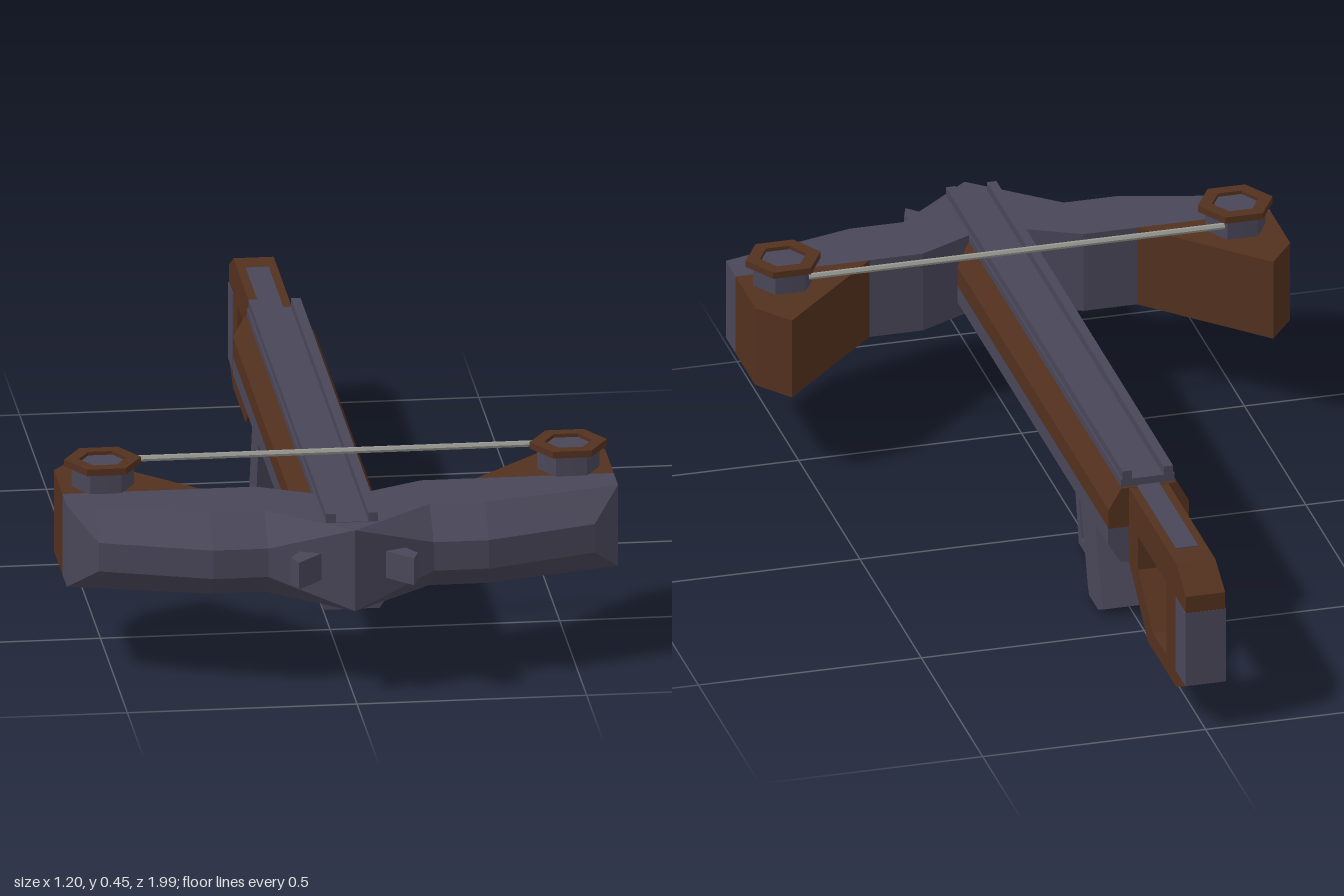
import * as THREE from 'three';

const material = (color) => new THREE.MeshStandardMaterial({ color, flatShading: true });

const path = (Type, pts) => new Type(pts.map(([a, b]) => new THREE.Vector2(a, b)));

function extrude(pts, depth, hole) {
  const shape = path(THREE.Shape, pts);
  if (hole) shape.holes.push(path(THREE.Path, hole));
  return new THREE.ExtrudeGeometry(shape, { depth, bevelEnabled: false });
}

// Side profile in (z, y), given a width centred on x = 0
const sideProfile = (pts, width, hole) =>
  extrude(pts, width, hole).translate(0, 0, -width / 2).rotateY(-Math.PI / 2);

// Plan outline in (x, z), raised from y0 to y1
const plan = (pts, y0, y1) =>
  extrude(pts.map(([x, z]) => [x, -z]), y1 - y0).rotateX(-Math.PI / 2).translate(0, y0, 0);

// Cross-section in (x, y), half outline mirrored, run from z0 to z1
function bar(half, z0, z1) {
  const pts = [...half, ...half.map(([x, y]) => [-x, y]).reverse()];
  return extrude(pts, z1 - z0).translate(0, 0, z0);
}

// Bow arms lofted through six-point sections along x
function bowGeometry() {
  // x, back z, bevel z, front z, front band low and high y
  const half = [
    [0, 0.74, 0.965, 0.965, 0.2, 0.385],
    [0.18, 0.65, 0.81, 0.89, 0.26, 0.325],
    [0.3, 0.65, 0.81, 0.89, 0.26, 0.325],
    [0.54, 0.65, 0.746, 0.81, 0.26, 0.325],
    [0.6, 0.65, 0.73, 0.73, 0.2, 0.385],
  ];
  const stations = [...half.slice(1).reverse().map(([x, ...r]) => [-x, ...r]), ...half];
  const pos = [], index = [];
  for (const [x, back, bevel, front, lo, hi] of stations) {
    pos.push(x, 0.2, back, x, 0.385, back, x, 0.385, bevel, x, hi, front, x, lo, front, x, 0.2, bevel);
  }
  for (let i = 0; i < stations.length - 1; i++) {
    for (let j = 0; j < 6; j++) {
      const a = i * 6 + j, b = i * 6 + (j + 1) % 6;
      index.push(a, b, b + 6, a, b + 6, a + 6);
    }
  }
  const last = (stations.length - 1) * 6;
  for (let j = 1; j < 5; j++) {
    index.push(0, j + 1, j, last, last + j, last + j + 1);
  }
  const g = new THREE.BufferGeometry();
  g.setAttribute('position', new THREE.Float32BufferAttribute(pos, 3));
  g.setIndex(index);
  const flat = g.toNonIndexed();
  flat.computeVertexNormals();
  return flat;
}

// Regular ring of points; two radii make a ribbed outline
const ring = (cx, cz, n, r, r2 = r) => Array.from({ length: n }, (_, i) => {
  const a = (i / n) * Math.PI * 2, q = i % 2 ? r2 : r;
  return [cx + q * Math.cos(a), cz + q * Math.sin(a)];
});

export function createModel() {
  const model = new THREE.Group();
  model.name = 'crossbow';
  const steel = material(0x494658);
  const wood = material(0x52301e);
  const cord = material(0x9a9a94);
  const add = (name, geometry, mat) => {
    const mesh = new THREE.Mesh(geometry, mat);
    mesh.name = name;
    model.add(mesh);
    return mesh;
  };

  // Barrel: steel keel, wooden flanks, steel top plate and two rails
  add('keel', bar([[0.06, 0.187], [0.09, 0.235], [0.09, 0.275]], -0.53, 0.91), steel);
  add('woodBody', bar([[0.09, 0.275], [0.09, 0.32], [0.062, 0.368]], -0.537, 0.8), wood);
  add('topPlate', bar([[0.06, 0.365], [0.06, 0.386]], -0.53, 0.91), steel);
  for (const s of [1, -1]) {
    add('rail', new THREE.BoxGeometry(0.021, 0.025, 1.44).translate(s * 0.046, 0.393, 0.19), steel);
  }

  // Bow
  add('bow', bowGeometry(), steel);
  for (const s of [1, -1]) {
    const m = (pts) => pts.map(([x, z]) => [s * x, z]);
    const cx = s * 0.507, cz = 0.6;
    add('bowTip', plan(m([[0.3, 0.65], [0.6, 0.65], [0.6, 0.49], [0.54, 0.41]]), 0.2, 0.385), wood);
    add('frontProng', plan(m([[0.055, 0.92], [0.125, 0.992], [0.138, 0.955], [0.1, 0.89]]), 0.264, 0.325), steel);
    // Pulley: ribbed hub under a hexagonal wooden rim
    add('pulleyHub', plan(ring(cx, cz, 12, 0.068, 0.06), 0.38, 0.432), steel);
    const rim = extrude(ring(cx, -cz, 6, 0.084), 0.015, ring(cx, -cz, 6, 0.052));
    add('pulleyRim', rim.rotateX(-Math.PI / 2).translate(0, 0.431, 0), wood);
    add('pulleyCap', plan(ring(cx, cz, 6, 0.052), 0.425, 0.438), steel);
  }

  // Bowstring
  add('string', new THREE.CylinderGeometry(0.007, 0.007, 0.93, 6).rotateZ(Math.PI / 2).translate(0, 0.421, 0.538), cord);

  // Shoulder stock with a hand opening
  add('stock', sideProfile(
    [[-0.53, 0.367], [-0.92, 0.367], [-1, 0.325], [-1, 0.11], [-0.92, 0.07], [-0.69, 0.07], [-0.535, 0.19]],
    0.088,
    [[-0.61, 0.285], [-0.84, 0.285], [-0.84, 0.11], [-0.73, 0.11], [-0.61, 0.205]]), wood);
  add('buttPlate', new THREE.BoxGeometry(0.091, 0.175, 0.081).translate(0, 0.198, -0.9605), steel);
  add('stockInlay', new THREE.BoxGeometry(0.05, 0.02, 0.34).translate(0, 0.359, -0.68), steel);

  // Grip, trigger guard and trigger
  add('grip', sideProfile(
    [[-0.23, 0.2], [-0.35, 0.2], [-0.412, 0.018], [-0.375, 0], [-0.3, 0], [-0.29, 0.02]], 0.138), steel);
  add('triggerGuard', sideProfile(
    [[0, 0.2], [-0.05, 0], [-0.31, 0], [-0.31, 0.02], [-0.07, 0.02], [-0.03, 0.2]], 0.046), steel);
  add('trigger', sideProfile(
    [[-0.17, 0.2], [-0.125, 0.148], [-0.14, 0.146], [-0.235, 0.2]], 0.03), steel);

  return model;
}
